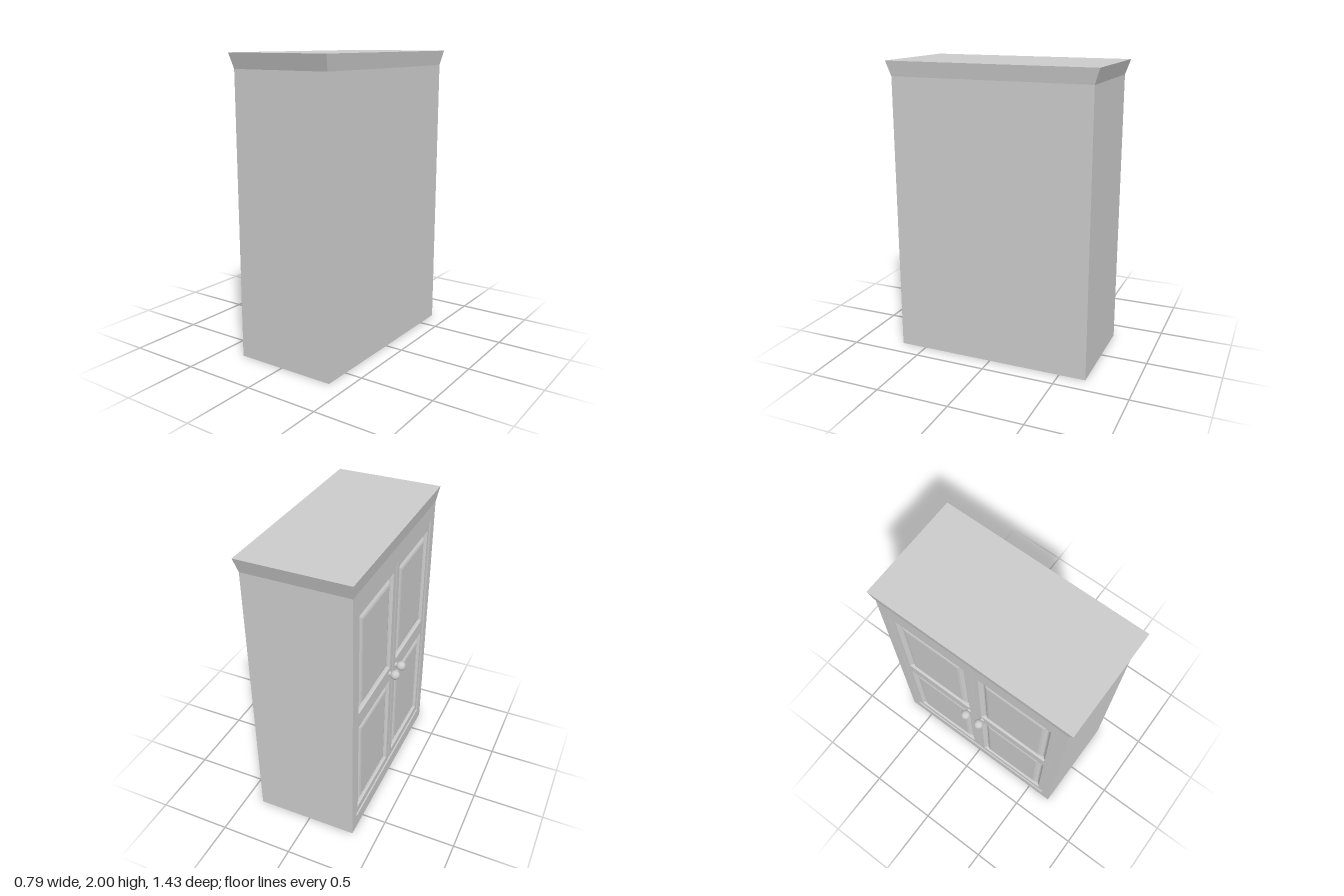
import * as THREE from 'three';

const material = new THREE.MeshStandardMaterial({ color: 0xcccccc });
const FRONT = 0.33;   // distance of the face frame from the centre
const BACK = 0.378;
const HALF = 0.682;   // half width of the cabinet along z
const CROWN_Y = 1.9;

function add(parent, name, geometry) {
  const mesh = new THREE.Mesh(geometry, material);
  mesh.name = name;
  parent.add(mesh);
  return mesh;
}

function rectPoints([u0, v0, u1, v1], inset = 0) {
  return [
    [u0 + inset, v0 + inset], [u1 - inset, v0 + inset],
    [u1 - inset, v1 - inset], [u0 + inset, v1 - inset],
  ];
}

// Flat board with rectangular openings, its outer face at `front`
function board(rect, holes, front, thickness) {
  const toVectors = (r) => rectPoints(r).map(([u, v]) => new THREE.Vector2(u, v));
  const shape = new THREE.Shape(toVectors(rect));
  holes.forEach((h) => shape.holes.push(new THREE.Path(toVectors(h).reverse())));
  return new THREE.ExtrudeGeometry(shape, { depth: thickness, bevelEnabled: false })
    .translate(0, 0, front - thickness);
}

// Raised panel: mitred rectangular rings following an [inset, depth] profile
function raisedPanel(rect, front, profile) {
  const rings = profile.map(([inset, depth]) =>
    rectPoints(rect, inset).map(([u, v]) => [u, v, front - depth]));
  const positions = [];
  const quad = (a, b, c, d) => positions.push(...a, ...b, ...c, ...a, ...c, ...d);
  for (let i = 0; i < rings.length - 1; i++) {
    for (let k = 0; k < 4; k++) {
      const n = (k + 1) % 4;
      quad(rings[i][k], rings[i][n], rings[i + 1][n], rings[i + 1][k]);
    }
  }
  quad(...rings[rings.length - 1]);
  const geometry = new THREE.BufferGeometry();
  geometry.setAttribute('position', new THREE.Float32BufferAttribute(positions, 3));
  geometry.computeVertexNormals();
  return geometry;
}

export function createModel() {
  const model = new THREE.Group();
  model.name = 'wardrobe';

  // Carcass behind the face frame
  const carcassFront = -0.285;
  add(model, 'carcass', new THREE.BoxGeometry(BACK - carcassFront, CROWN_Y, HALF * 2))
    .position.set((BACK + carcassFront) / 2, CROWN_Y / 2, 0);

  // Crown flaring outwards to the flat top
  const crown = new THREE.BoxGeometry(FRONT + BACK, 2 - CROWN_Y, HALF * 2);
  const p = crown.attributes.position;
  for (let i = 0; i < p.count; i++) {
    if (p.getY(i) > 0) {
      p.setX(i, p.getX(i) + Math.sign(p.getX(i)) * 0.016);
      p.setZ(i, p.getZ(i) + Math.sign(p.getZ(i)) * 0.033);
    }
  }
  const crownGeometry = crown.toNonIndexed();
  crownGeometry.computeVertexNormals();
  add(model, 'crown', crownGeometry)
    .position.set((BACK - FRONT) / 2, (CROWN_Y + 2) / 2, 0);

  // Door side: local x runs along the width, local z points out of the doors
  const face = new THREE.Group();
  face.name = 'doorSide';
  face.rotation.y = -Math.PI / 2;
  model.add(face);

  add(face, 'faceFrame', board([-HALF, 0, HALF, CROWN_Y], [[-0.615, 0.1, 0.615, 1.79]], FRONT, 0.045));

  // Groove rounding down from the stiles, then up to the raised field
  const profile = [[0, 0], [0.008, 0.012], [0.02, 0.021], [0.028, 0.022],
    [0.034, 0.018], [0.048, 0.008], [0.062, 0.004]];
  const doorFront = FRONT - 0.008;

  for (const side of [-1, 1]) {
    const door = new THREE.Group();
    door.name = side < 0 ? 'doorA' : 'doorB';
    face.add(door);

    const span = (near, far, v0, v1) =>
      side > 0 ? [near, v0, far, v1] : [-far, v0, -near, v1];
    const panels = [span(0.05, 0.575, 0.16, 0.89), span(0.05, 0.575, 1.0, 1.73)];
    add(door, 'doorFrame', board(span(0.005, 0.607, 0.108, 1.782), panels, doorFront, 0.035));
    panels.forEach((rect, i) =>
      add(door, i ? 'upperPanel' : 'lowerPanel', raisedPanel(rect, doorFront, profile)));

    // Round knob on a short neck
    const knob = new THREE.Group();
    knob.name = 'knob';
    knob.position.set(side * 0.056, 0.953, 0);
    door.add(knob);
    add(knob, 'knobBall', new THREE.SphereGeometry(0.033, 24, 16)).position.z = 0.364;
    add(knob, 'knobNeck', new THREE.CylinderGeometry(0.016, 0.016, 0.04, 20).rotateX(Math.PI / 2))
      .position.z = 0.332;
  }

  return model;
}
